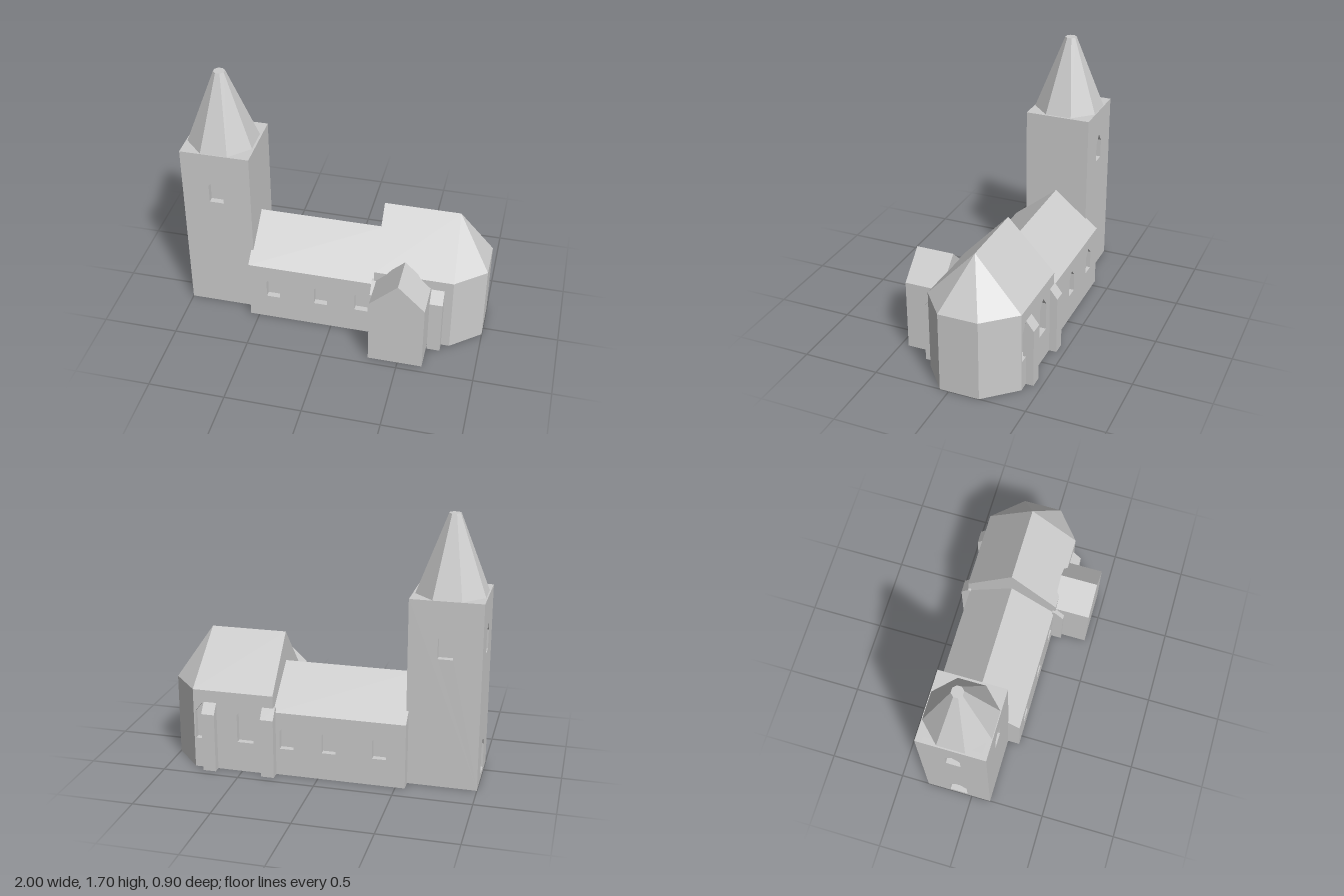
import * as THREE from 'three';

const stone = new THREE.MeshStandardMaterial({ color: 0xcccccc });
stone.name = 'pale stone';

const AXIS_Z = -0.09; // long axis of the church
const REVEAL = 0.04; // depth of the window niches

export function createModel() {
  const church = new THREE.Group();
  church.name = 'church';

  function add(name, geometry, x = 0, y = 0, z = 0) {
    const mesh = new THREE.Mesh(geometry, stone);
    mesh.name = name;
    mesh.position.set(x, y, z);
    church.add(mesh);
    return mesh;
  }
  const outline = (pts) => new THREE.Shape(pts.map(([a, b]) => new THREE.Vector2(a, b)));
  const extrude = (shape, depth) => new THREE.ExtrudeGeometry(shape, { depth, bevelEnabled: false });

  function block(name, x0, x1, y0, y1, z0, z1) {
    add(name, new THREE.BoxGeometry(x1 - x0, y1 - y0, z1 - z0), (x0 + x1) / 2, (y0 + y1) / 2, (z0 + z1) / 2);
  }
  // Wall slab in the xy plane, pierced by pointed openings [centre, width, sill, shoulder, peak]
  function piercedWall(a0, a1, height, openings) {
    const shape = outline([[a0, 0], [a1, 0], [a1, height], [a0, height]]);
    for (const [c, w, sill, shoulder, peak] of openings) {
      shape.holes.push(outline([
        [c - w / 2, sill], [c - w / 2, shoulder], [c, peak], [c + w / 2, shoulder], [c + w / 2, sill],
      ]));
    }
    return extrude(shape, REVEAL);
  }
  // Profile given as (z, y), running from x0 to x1
  function alongX(name, profile, x0, x1) {
    add(name, extrude(outline(profile), x1 - x0).rotateY(-Math.PI / 2), x1);
  }

  // Tower: solid core with pierced slabs on three sides
  const belfry = [-0.775, 0.095, 0.845, 0.97, 1.03];
  block('towerCore', -0.96, -0.545, 0, 1.21, -0.27, 0.09);
  add('towerFrontWall', piercedWall(-1, -0.545, 1.21, [belfry]), 0, 0, 0.09);
  add('towerBackWall', piercedWall(-1, -0.545, 1.21, [belfry]), 0, 0, -0.31);
  add('towerWestWall', piercedWall(-0.27, 0.09, 1.21, [
    [AXIS_Z, 0.095, 0.845, 0.97, 1.03],
    [AXIS_Z, 0.12, 0.035, 0.2, 0.27],
  ]).rotateY(-Math.PI / 2), -0.96);

  // Truncated eight-sided spire
  const spire = new THREE.CylinderGeometry(0.038, 0.233, 0.49, 8).rotateY(Math.PI / 8).toNonIndexed();
  spire.computeVertexNormals();
  add('spire', spire, -0.775, 1.455, AXIS_Z);

  // Nave
  const naveWindows = [-0.395, -0.07, 0.205].map((x) => [x, 0.09, 0.18, 0.3, 0.35]);
  block('naveCore', -0.56, 0.29, 0, 0.425, -0.35, 0.17);
  add('naveFrontWall', piercedWall(-0.56, 0.29, 0.425, naveWindows), 0, 0, 0.17);
  add('naveBackWall', piercedWall(-0.56, 0.29, 0.425, naveWindows), 0, 0, -0.39);
  alongX('naveRoof', [[-0.39, 0.425], [0.21, 0.425], [AXIS_Z, 0.67]], -0.56, 0.29);

  // Choir with a three-sided apse; plan given as (x, z)
  const eave = 0.535;
  const plan = [[0.29, 0.22], [0.805, 0.22], [1, 0.06], [1, -0.2], [0.82, -0.4]];
  const corePlan = [...plan, [0.82, -0.36], [0.29, -0.36]];
  add('choirCore', extrude(outline(corePlan.map(([x, z]) => [x, -z])), eave).rotateX(-Math.PI / 2));
  add('choirBackWall', piercedWall(0.29, 0.82, eave, [
    [0.475, 0.11, 0.2, 0.385, 0.45],
    [0.76, 0.1, 0.2, 0.385, 0.45],
  ]), 0, 0, -0.4);

  // Choir roof: two slopes, a gable and three hips
  const e = [...plan, [0.29, -0.4]].map(([x, z]) => [x, eave, z]);
  const ridgeWest = [0.29, 0.865, AXIS_Z];
  const ridgeEast = [0.785, 0.865, AXIS_Z];
  const faces = [
    [e[0], e[1], ridgeEast], [e[0], ridgeEast, ridgeWest],
    [e[4], e[5], ridgeWest], [e[4], ridgeWest, ridgeEast],
    [e[5], e[0], ridgeWest],
  ];
  for (let i = 1; i < 4; i++) faces.push([e[i], e[i + 1], ridgeEast]);
  const roof = new THREE.BufferGeometry();
  roof.setAttribute('position', new THREE.Float32BufferAttribute(faces.flat(2), 3));
  roof.computeVertexNormals();
  add('choirRoof', roof);

  // Gabled side chapel
  add('sideChapel', extrude(outline([
    [0.305, 0], [0.66, 0], [0.66, 0.47], [0.485, 0.64], [0.305, 0.47],
  ]), 0.25), 0, 0, 0.2);

  // Sloped buttresses on both sides of the choir
  for (const x of [0.275, 0.665]) {
    alongX('frontButtress', [[0.2, 0], [0.28, 0], [0.28, 0.39], [0.22, 0.465], [0.2, 0.465]], x, x + 0.085);
    alongX('backButtress', [[-0.38, 0], [-0.45, 0], [-0.45, 0.39], [-0.4, 0.455], [-0.38, 0.455]], x, x + 0.085);
  }

  return church;
}
